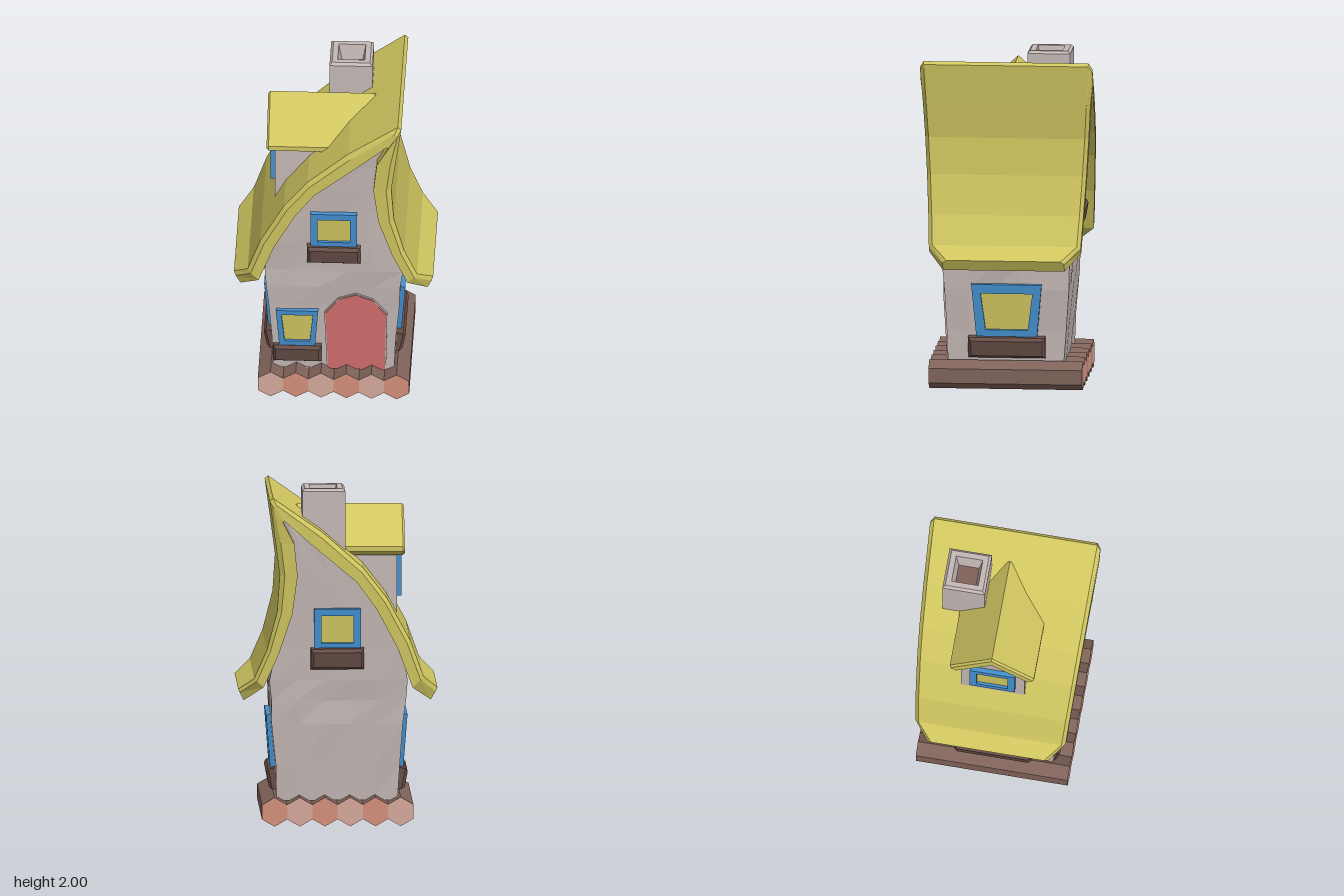
import * as THREE from 'three';

const mat = (name, color) => Object.assign(new THREE.MeshStandardMaterial({ color }), { name });
const M = {
  roof: mat('mustard roof', 0xd0c660),
  wall: mat('grey plaster', 0xc4b8b5),
  blue: mat('blue frame', 0x4491d0),
  door: mat('red door', 0xd4706e),
  box: mat('dark wood', 0x684e47),
  log: mat('brown wood', 0x80635a),
  endA: mat('pale log end', 0xd6a99b),
  endB: mat('warm log end', 0xd4907c),
};

function mesh(name, geo, material) {
  const m = new THREE.Mesh(geo, material);
  m.name = name;
  return m;
}

// Flat-faced skin over a row of point rings, with optional end caps
function loft(rings, capStart = true, capEnd = true) {
  const pos = [];
  const tri = (a, b, c) => pos.push(...a, ...b, ...c);
  const n = rings[0].length;
  for (let i = 0; i < rings.length - 1; i++) {
    const a = rings[i], b = rings[i + 1];
    for (let j = 0; j < n; j++) {
      const k = (j + 1) % n;
      tri(a[j], a[k], b[k]);
      tri(a[j], b[k], b[j]);
    }
  }
  const first = rings[0], last = rings[rings.length - 1];
  for (let j = 1; j < n - 1; j++) {
    if (capStart) tri(first[0], first[j + 1], first[j]);
    if (capEnd) tri(last[0], last[j], last[j + 1]);
  }
  const g = new THREE.BufferGeometry();
  g.setAttribute('position', new THREE.Float32BufferAttribute(pos, 3));
  g.computeVertexNormals();
  return g;
}

const poly = (pts) => new THREE.Shape(pts.map(([x, y]) => new THREE.Vector2(x, y)));
const extrude = (shape, depth, bevel = 0) => new THREE.ExtrudeGeometry(shape, {
  depth, bevelEnabled: bevel > 0, bevelSize: bevel, bevelThickness: bevel, bevelOffset: -bevel, bevelSegments: 1,
});

// Walls lean outwards as they rise
const frontZ = (y) => 0.335 + 0.058 * y;
const sideX = (y) => 0.342 + 0.075 * y;

// Wall body: stacked rings with slightly uneven plaster
function makeWalls() {
  let seed = 7;
  const rough = () => {
    seed = (seed * 16807) % 2147483647;
    return (seed / 2147483647 - 0.5) * 0.014;
  };
  const rows = [
    [0.14, -0.352, 0.355], [0.35, -0.367, 0.367], [0.6, -0.387, 0.387], [0.74, -0.4, 0.397],
    [0.86, -0.41, 0.405], [1.06, -0.37, 0.365], [1.3, -0.25, 0.285], [1.46, -0.135, 0.26],
    [1.63, 0.06, 0.27], [1.73, 0.18, 0.29], [1.85, 0.31, 0.34],
  ];
  const N = 5;
  return loft(rows.map(([y, l, r]) => {
    const z = frontZ(y), ring = [], bump = y < 1.2 ? 1 : 0.3;
    const corners = [[l, z], [r, z], [r, -z], [l, -z]];
    corners.forEach(([x0, z0], c) => {
      const [x1, z1] = corners[(c + 1) % 4];
      for (let j = 0; j < N; j++) {
        const t = j / N;
        ring.push([x0 + (x1 - x0) * t + rough() * bump, y, z0 + (z1 - z0) * t + rough() * bump]);
      }
    });
    return ring;
  }));
}

// Main roof: outer and inner points from the left eave over the ridge to the right eave
function makeRoof() {
  const stations = [
    [-0.59, 0.81, -0.55, 0.742, 0.36], [-0.505, 0.89, -0.44, 0.825], [-0.43, 1.1, -0.35, 1.065],
    [-0.29, 1.36, -0.225, 1.3], [-0.15, 1.54, -0.11, 1.46], [0.09, 1.755, 0.11, 1.645],
    [0.385, 1.962, 0.32, 1.83], [0.405, 1.945, 0.328, 1.822], [0.37, 1.69, 0.26, 1.69],
    [0.345, 1.5, 0.24, 1.5], [0.36, 1.28, 0.27, 1.27], [0.42, 1.05, 0.35, 1.03],
    [0.495, 0.88, 0.44, 0.83], [0.587, 0.805, 0.555, 0.742, 0.36],
  ];
  return loft(stations.map(([ox, oy, ix, iy, half]) => {
    const h = half ?? 0.45 + (oy - 0.88) * 0.056;
    const mx = ox * 0.72 + ix * 0.28, my = oy * 0.72 + iy * 0.28;
    return [[ox, oy, h - 0.022], [mx, my, h], [ix, iy, h], [ix, iy, -h], [mx, my, -h], [ox, oy, -h + 0.022]];
  }));
}

// Window facing local +z, with its sill at y = 0
function makeWindow(name, { top, bottom, height, bar, base = bar, box, boxDepth }) {
  const g = new THREE.Group();
  g.name = name;
  const trap = (t, b, y0, y1) => [[-b / 2, y0], [b / 2, y0], [t / 2, y1], [-t / 2, y1]];
  const inner = trap(top - bar * 2, bottom - bar * 2, base, height - bar);
  const frame = poly(trap(top, bottom, 0, height));
  frame.holes.push(poly(inner));
  const frameMesh = mesh('windowFrame', extrude(frame, 0.045), M.blue);
  frameMesh.position.z = -0.017;
  const pane = mesh('windowPane', extrude(poly(inner), 0.006), M.roof);
  pane.position.z = 0.006;
  g.add(frameMesh, pane);
  if (box) {
    const w = box / 2;
    const planter = mesh('flowerBox',
      extrude(poly([[-w, -0.125], [w, -0.125], [w, 0], [-w, 0]]), boxDepth, 0.017), M.box);
    planter.position.z = -0.005;
    planter.rotation.x = 0.12;
    g.add(planter);
  }
  return g;
}

function place(obj, x, y, z, turn, tilt) {
  obj.position.set(x, y, z);
  obj.rotation.set(tilt, turn, 0, 'YXZ');
  return obj;
}

// Square ring, ordered for an upward loft
const square = (h, y) => [[-h, y, h], [h, y, h], [h, y, -h], [-h, y, -h]];

export function createModel() {
  const house = new THREE.Group();
  house.name = 'cottage';

  // Log foundation
  for (let i = 0; i < 6; i++) {
    const end = i % 2 ? M.endB : M.endA;
    const geo = new THREE.CylinderGeometry(0.0865, 0.0865, 0.91, 6).toNonIndexed();
    geo.computeVertexNormals();
    geo.rotateX(Math.PI / 2);
    const log = mesh('foundationLog', geo, [M.log, end, end]);
    log.position.set(0.003 + (i - 2.5) * 0.149, 0.0865, 0);
    house.add(log);
  }

  house.add(mesh('walls', makeWalls(), M.wall), mesh('mainRoof', makeRoof(), M.roof));

  // Arched door with a narrow plaster surround
  const arch = [[-0.165, 0], [0.17, 0], [0.178, 0.41], [0.1, 0.51], [0, 0.55], [-0.1, 0.515], [-0.18, 0.41]];
  const tilt = Math.atan(0.058);
  const surround = mesh('doorSurround', extrude(poly(arch.map(([x, y]) => [x * 1.04, y * 1.012])), 0.012), M.wall);
  const door = mesh('door', extrude(poly(arch), 0.008), M.door);
  house.add(place(surround, 0.132, 0.14, frontZ(0.14) - 0.004, 0, tilt));
  house.add(place(door, 0.132, 0.14, frontZ(0.14) + 0.003, 0, tilt));

  // Lower front window
  house.add(place(makeWindow('frontWindow',
    { top: 0.25, bottom: 0.212, height: 0.255, bar: 0.032, box: 0.287, boxDepth: 0.03 }),
  -0.215, 0.32, frontZ(0.32), 0, tilt));

  // Gable windows, front and back
  for (const s of [1, -1]) {
    house.add(place(makeWindow(s > 0 ? 'frontGableWindow' : 'backGableWindow',
      { top: 0.275, bottom: 0.275, height: 0.235, bar: 0.042, base: 0.03, box: 0.315, boxDepth: 0.04 }),
    0.003, 1.06, s * frontZ(1.06), s > 0 ? 0 : Math.PI, tilt));
  }

  // Side windows
  for (const s of [1, -1]) {
    house.add(place(makeWindow(s > 0 ? 'leftWindow' : 'rightWindow',
      { top: 0.417, bottom: 0.36, height: 0.315, bar: 0.055, base: 0.04, box: 0.456, boxDepth: 0.045 }),
    s * sideX(0.32), 0.32, -0.004, s * Math.PI / 2, Math.atan(0.075)));
  }

  // Dormer: gabled wall, roof and window facing -x
  const dormer = new THREE.Group();
  dormer.name = 'dormer';
  const dormerWall = mesh('dormerWall',
    extrude(poly([[-0.19, 1.2], [0.19, 1.2], [0.19, 1.63], [0, 1.8], [-0.19, 1.63]]), 0.42), M.wall);
  dormerWall.rotation.y = Math.PI / 2;
  dormerWall.position.x = -0.355;
  const dormerRoof = mesh('dormerRoof', extrude(poly([
    [0, 1.865], [-0.252, 1.64], [-0.252, 1.61], [-0.21, 1.583], [0, 1.765],
    [0.21, 1.583], [0.252, 1.61], [0.252, 1.64],
  ]), 0.62, 0.012), M.roof);
  dormerRoof.rotation.y = Math.PI / 2;
  dormerRoof.position.x = -0.39;
  dormer.add(dormerWall, dormerRoof, place(makeWindow('dormerWindow',
    { top: 0.27, bottom: 0.27, height: 0.25, bar: 0.042 }), -0.355, 1.33, 0, -Math.PI / 2, 0));
  dormer.position.z = -0.008;
  house.add(dormer);

  // Hollow chimney
  const chimney = new THREE.Group();
  chimney.name = 'chimney';
  const rings = [[0.127, 1.55], [0.127, 1.985], [0.112, 2], [0.08, 2], [0.06, 1.9]].map(([h, y]) => square(h, y));
  const floor = mesh('chimneyFloor', new THREE.BoxGeometry(0.13, 0.01, 0.13), M.log);
  floor.position.y = 1.9;
  chimney.add(mesh('chimneyStack', loft(rings, true, false), M.wall), floor);
  chimney.position.set(0.082, 0, -0.238);
  house.add(chimney);

  return house;
}
